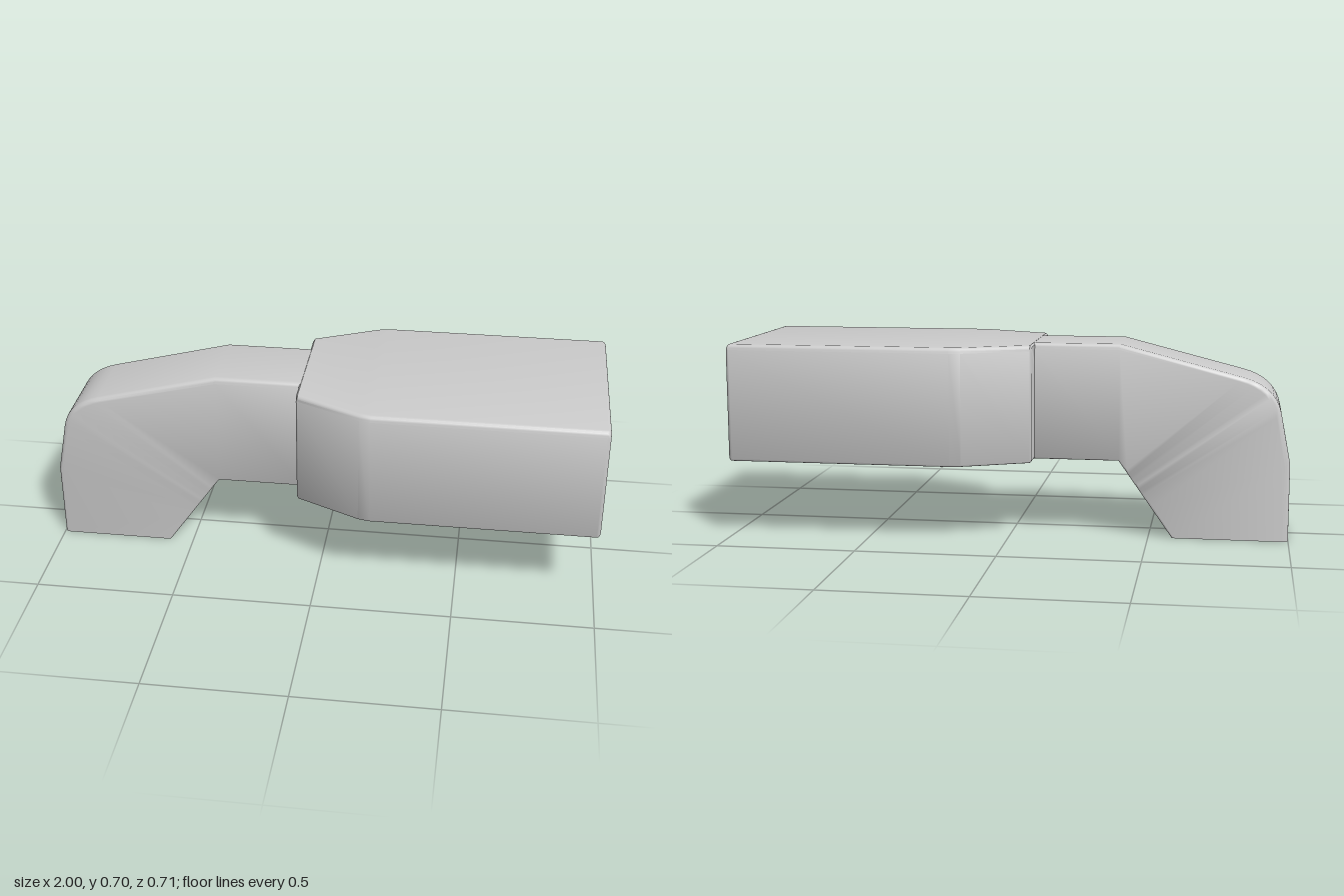
import * as THREE from 'three';
import { toCreasedNormals, mergeVertices } from 'three/addons/utils/BufferGeometryUtils.js';

const TOP = 0.7, BOTTOM = 0.278, OUTER_R = 0.02, INNER_R = 0.008, STEPS = 4;
const grey = new THREE.MeshStandardMaterial({ color: 0xcccccc });

// Rounded rectangle as [z, v] pairs, v running from 0 (inner edge) to length (outer edge).
function section(halfWidth, length) {
  const corners = [
    [1, 0, INNER_R, -0.5], [1, 1, OUTER_R, 0],
    [-1, 1, OUTER_R, 0.5], [-1, 0, INNER_R, 1],
  ];
  const points = [];
  for (const [side, end, r, start] of corners) {
    for (let i = 0; i <= STEPS; i++) {
      const a = (start + (0.5 * i) / STEPS) * Math.PI;
      const v = end ? length - r : r;
      points.push([side * (halfWidth - r) + r * Math.cos(a), v + r * Math.sin(a)]);
    }
  }
  return points;
}

// Skin over stations { inner: [x, y], outer: [x, y], w: half width }.
function loft(stations, capEnd) {
  const positions = [], index = [];
  let n = 0;
  for (const { inner, outer, w } of stations) {
    const dx = outer[0] - inner[0], dy = outer[1] - inner[1];
    const length = Math.hypot(dx, dy);
    const ring = section(w, length);
    n = ring.length;
    for (const [z, v] of ring) {
      positions.push(inner[0] + (dx * v) / length, inner[1] + (dy * v) / length, z);
    }
  }
  const last = (stations.length - 1) * n;
  for (let s = 0; s < last; s += n) {
    for (let j = 0; j < n; j++) {
      const k = (j + 1) % n;
      index.push(s + j, s + n + j, s + k, s + n + j, s + n + k, s + k);
    }
  }
  for (let j = 1; j < n - 1; j++) {
    index.push(0, j, j + 1);
    if (capEnd) index.push(last, last + j + 1, last + j);
  }
  const geometry = new THREE.BufferGeometry();
  geometry.setAttribute('position', new THREE.Float32BufferAttribute(positions, 3));
  geometry.setIndex(index);
  return toCreasedNormals(mergeVertices(geometry), 0.6);
}

function addMesh(parent, name, geometry) {
  const mesh = new THREE.Mesh(geometry, grey);
  mesh.name = name;
  parent.add(mesh);
  return mesh;
}

// Box without its +x side, turned inside out.
function pocketGeometry(depth, height, width) {
  const geometry = new THREE.BoxGeometry(depth, height, width);
  geometry.setIndex(Array.from(geometry.index.array).slice(6).reverse());
  const normal = geometry.attributes.normal;
  for (let i = 0; i < normal.array.length; i++) normal.array[i] *= -1;
  return geometry;
}

function createHousing() {
  const housing = new THREE.Group();
  housing.name = 'housing';
  const station = (x, w, inset = 0) => ({
    inner: [x, BOTTOM + inset], outer: [x, TOP - inset], w: w - inset,
  });

  // Shell: tapered neck, straight body, softly rounded open end
  const r = 0.013;
  const stations = [
    station(-0.085, 0.235, 0.006), station(-0.079, 0.238),
    station(0.15, 0.346), station(0.19, 0.355),
  ];
  for (let i = 0; i <= 4; i++) {
    const a = (i * Math.PI) / 8;
    stations.push(station(1 - r + r * Math.sin(a), 0.355, r * (1 - Math.cos(a))));
  }
  addMesh(housing, 'housingShell', loft(stations, false));

  // End face with three rectangular openings
  const outline = section(0.355 - r, TOP - BOTTOM - 2 * r);
  const face = new THREE.Shape(outline.map(([z, v]) => new THREE.Vector2(z, BOTTOM + r + v)));
  const low = 0.33, high = 0.648, depth = 0.5;
  for (const [a, b, name] of [
    [-0.33, -0.174, 'rightSocket'], [-0.123, 0.123, 'middleSocket'], [0.174, 0.33, 'leftSocket'],
  ]) {
    face.holes.push(new THREE.Path([
      new THREE.Vector2(a, low), new THREE.Vector2(a, high),
      new THREE.Vector2(b, high), new THREE.Vector2(b, low),
    ]));
    const pocket = addMesh(housing, name, pocketGeometry(depth, high - low, b - a));
    pocket.position.set(1 - depth / 2, (low + high) / 2, -(a + b) / 2);
  }
  const end = addMesh(housing, 'endFace', new THREE.ShapeGeometry(face));
  end.rotation.y = Math.PI / 2;
  end.position.x = 1;
  return housing;
}

// Bent arm: foot, rounded elbow, then level run into the housing
function createArm() {
  const w = 0.147;
  const underside = (t) => [-0.585 + 0.195 * t, BOTTOM * t];
  const stations = [
    { outer: [-1, 0], inner: underside(0), w },
    { outer: [-1, 0.28], inner: underside(0.4), w },
  ];
  const elbow = new THREE.QuadraticBezierCurve(
    new THREE.Vector2(-0.965, 0.46), new THREE.Vector2(-0.945, 0.558), new THREE.Vector2(-0.83, 0.588),
  );
  for (let i = 0; i <= 8; i++) {
    const p = elbow.getPoint(i / 8);
    stations.push({ outer: [p.x, p.y], inner: underside(0.55 + 0.04 * i), w });
  }
  stations.push({ outer: [-0.39, TOP], inner: underside(1), w });
  stations.push({ outer: [-0.08, TOP], inner: [-0.08, BOTTOM], w });
  return loft(stations, true);
}

export function createModel() {
  const model = new THREE.Group();
  model.name = 'connector';
  model.add(createHousing());
  addMesh(model, 'bentArm', createArm());
  return model;
}
